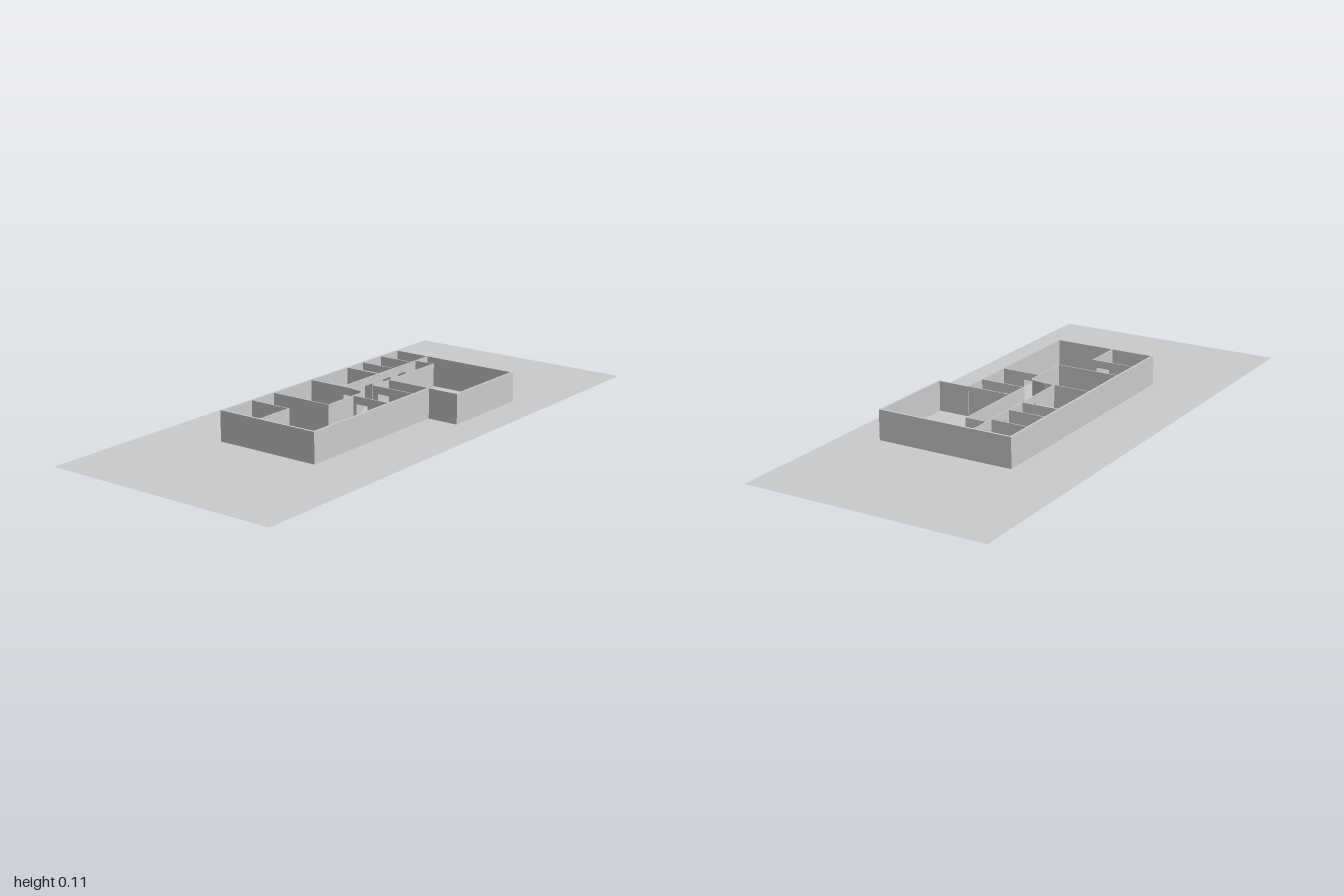
import * as THREE from 'three';

const HEIGHT = 0.107;
const DOOR_HEIGHT = 0.08;
const OUTER = 0.008;
const INNER = 0.004;

const material = new THREE.MeshStandardMaterial({
  color: 0xcccccc, flatShading: true, side: THREE.DoubleSide,
});

// Upright wall from (ax, az) to (bx, bz); doors are [start, end] distances along it
function wall(name, [ax, az], [bx, bz], thickness, doors = []) {
  const length = Math.hypot(bx - ax, bz - az);
  const t = thickness / 2;
  const shape = new THREE.Shape();
  shape.moveTo(-t, 0);
  for (const [start, end] of doors) {
    shape.lineTo(start, 0);
    shape.lineTo(start, DOOR_HEIGHT);
    shape.lineTo(end, DOOR_HEIGHT);
    shape.lineTo(end, 0);
  }
  shape.lineTo(length + t, 0);
  shape.lineTo(length + t, HEIGHT);
  shape.lineTo(-t, HEIGHT);
  shape.closePath();
  const geometry = new THREE.ExtrudeGeometry(shape, { depth: thickness, bevelEnabled: false });
  geometry.translate(0, 0, -t);
  const mesh = new THREE.Mesh(geometry, material);
  mesh.name = name;
  mesh.position.set(ax, 0.0005, az);
  mesh.rotation.y = Math.atan2(az - bz, bx - ax);
  return mesh;
}

export function createModel() {
  const model = new THREE.Group();
  model.name = 'floorPlan';

  // Ground sheet
  const ground = new THREE.Mesh(new THREE.PlaneGeometry(2, 0.88), material);
  ground.name = 'ground';
  ground.rotation.x = -Math.PI / 2;
  model.add(ground);

  // Outer walls, stepped forward on the left side
  const outline = [
    [-0.488, -0.194], [0.474, -0.194], [0.474, 0.304],
    [0.132, 0.304], [0.132, 0.189], [-0.488, 0.189],
  ];
  const outer = new THREE.Group();
  outer.name = 'outerWalls';
  outline.forEach((p, i) => {
    outer.add(wall('outerWall', p, outline[(i + 1) % outline.length], OUTER));
  });
  model.add(outer);

  const inner = new THREE.Group();
  inner.name = 'partitions';
  const add = (name, a, b, doors, thickness = INNER) =>
    inner.add(wall(name, a, b, thickness, doors));

  // Back corner room
  add('cornerRoomFront', [-0.488, -0.034], [-0.343, -0.034]);
  add('cornerRoomSide', [-0.343, -0.194], [-0.343, -0.034], [[0.095, 0.145]]);

  // Middle room with a rounded corner
  add('middleRoomSide', [-0.23, -0.194], [-0.23, 0.042]);
  add('middleRoomFront', [-0.23, 0.042], [-0.056, 0.042]);
  const radius = 0.018;
  const arc = [0, 1, 2, 3, 4].map((i) => {
    const a = (i / 4) * Math.PI / 2;
    return [-0.056 + radius * Math.sin(a), 0.024 + radius * Math.cos(a)];
  });
  for (let i = 0; i < 4; i++) add('roundedCorner', arc[i], arc[i + 1]);
  add('middleRoomEntry', [-0.038, 0.024], [-0.03, -0.02]);
  add('middleRoomDivider', [-0.03, -0.194], [-0.03, -0.02], [[0.143, 0.17]]);

  // Row of back rooms, one door each onto the corridor
  add('corridorBack', [-0.03, -0.056], [0.474, -0.056],
    [0.116, 0.22, 0.31, 0.42].map((x) => [x + 0.03 - 0.022, x + 0.03 + 0.022]));
  add('backRoomDivider', [0.175, -0.194], [0.175, -0.056], [], OUTER);
  for (const x of [0.263, 0.37]) add('backRoomDivider', [x, -0.194], [x, -0.056]);

  // Corridor front and the rooms before it
  add('corridorFront', [0.044, 0.021], [0.397, 0.021]);
  add('corridorEnd', [0.397, -0.056], [0.397, 0.021]);
  add('hallSide', [0.044, 0.021], [0.044, 0.189], [[0.02, 0.07]]);
  add('livingRoomSide', [0.132, 0.021], [0.132, 0.189]);
  add('frontRoomSide', [-0.096, 0.042], [-0.096, 0.189], [[0.015, 0.06]]);
  model.add(inner);

  return model;
}
